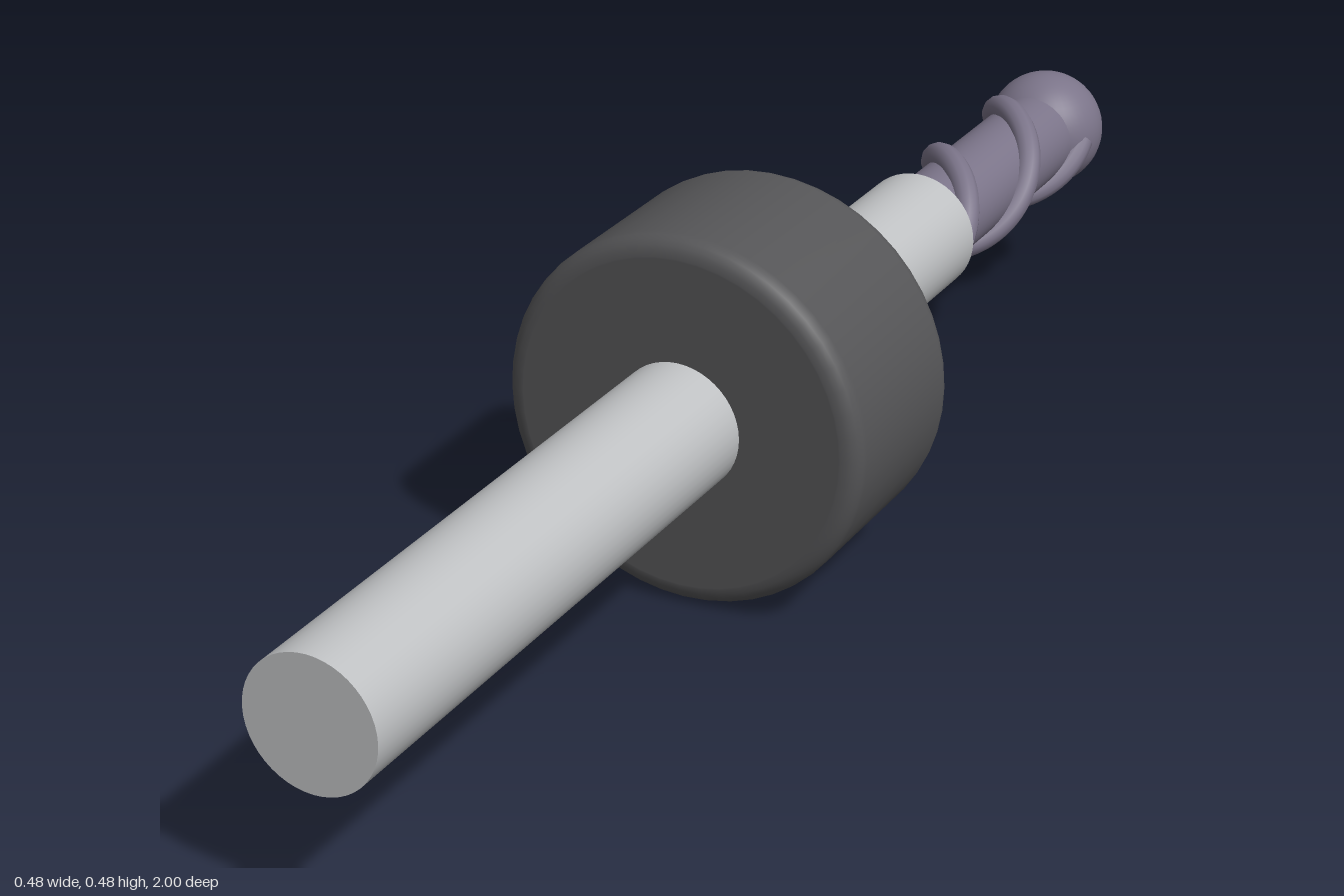
import * as THREE from 'three';

const AXIS_Y = 0.241; // height of the tool's long axis

export function createModel() {
  const model = new THREE.Group();
  const steel = new THREE.MeshStandardMaterial({ color: 0xbfc1c3 });
  steel.name = 'steel';
  const rubber = new THREE.MeshStandardMaterial({ color: 0x555557 });
  rubber.name = 'dark collar';
  const carbide = new THREE.MeshStandardMaterial({ color: 0x7b7489, side: THREE.DoubleSide });
  carbide.name = 'coated carbide';

  const add = (name, geometry, material) => {
    const mesh = new THREE.Mesh(geometry, material);
    mesh.name = name;
    mesh.position.y = AXIS_Y;
    model.add(mesh);
  };
  // Cylinder lying along z between two positions
  const rod = (radius, z0, z1) =>
    new THREE.CylinderGeometry(radius, radius, z1 - z0, 48)
      .rotateX(Math.PI / 2)
      .translate(0, 0, (z0 + z1) / 2);

  add('shank', rod(0.083, -0.475, 1), steel);
  add('fluteCore', rod(0.063, -0.877, -0.47), carbide);
  add('ballNose', new THREE.SphereGeometry(0.083, 40, 28).translate(0, 0, -0.917), carbide);

  // Collar: a disc with rounded rims, turned about z
  const z0 = -0.053, z1 = 0.209, R = 0.241, bevel = 0.024;
  const profile = [new THREE.Vector2(0, z0), new THREE.Vector2(R - bevel - 0.002, z0)];
  for (const [centre, start] of [[z0 + bevel, -Math.PI / 2], [z1 - bevel, 0]]) {
    for (let i = 0; i <= 5; i++) {
      const a = start + (i / 5) * (Math.PI / 2);
      profile.push(new THREE.Vector2(R - bevel + bevel * Math.cos(a), centre + bevel * Math.sin(a)));
    }
  }
  profile.push(new THREE.Vector2(R - bevel - 0.002, z1), new THREE.Vector2(0, z1));
  add('collar', new THREE.LatheGeometry(profile, 48).rotateX(Math.PI / 2), rubber);

  // Two cutting edges spiralling one full turn around the core
  for (let k = 0; k < 2; k++) {
    const points = [];
    for (let i = 0; i <= 32; i++) {
      const t = i / 32;
      const a = t * Math.PI * 2 + k * Math.PI;
      points.push(new THREE.Vector3(0.065 * Math.cos(a), 0.065 * Math.sin(a), -0.475 - 0.42 * t));
    }
    const path = new THREE.CatmullRomCurve3(points);
    add('cuttingEdge' + (k + 1), new THREE.TubeGeometry(path, 96, 0.018, 12), carbide);
  }
  return model;
}
